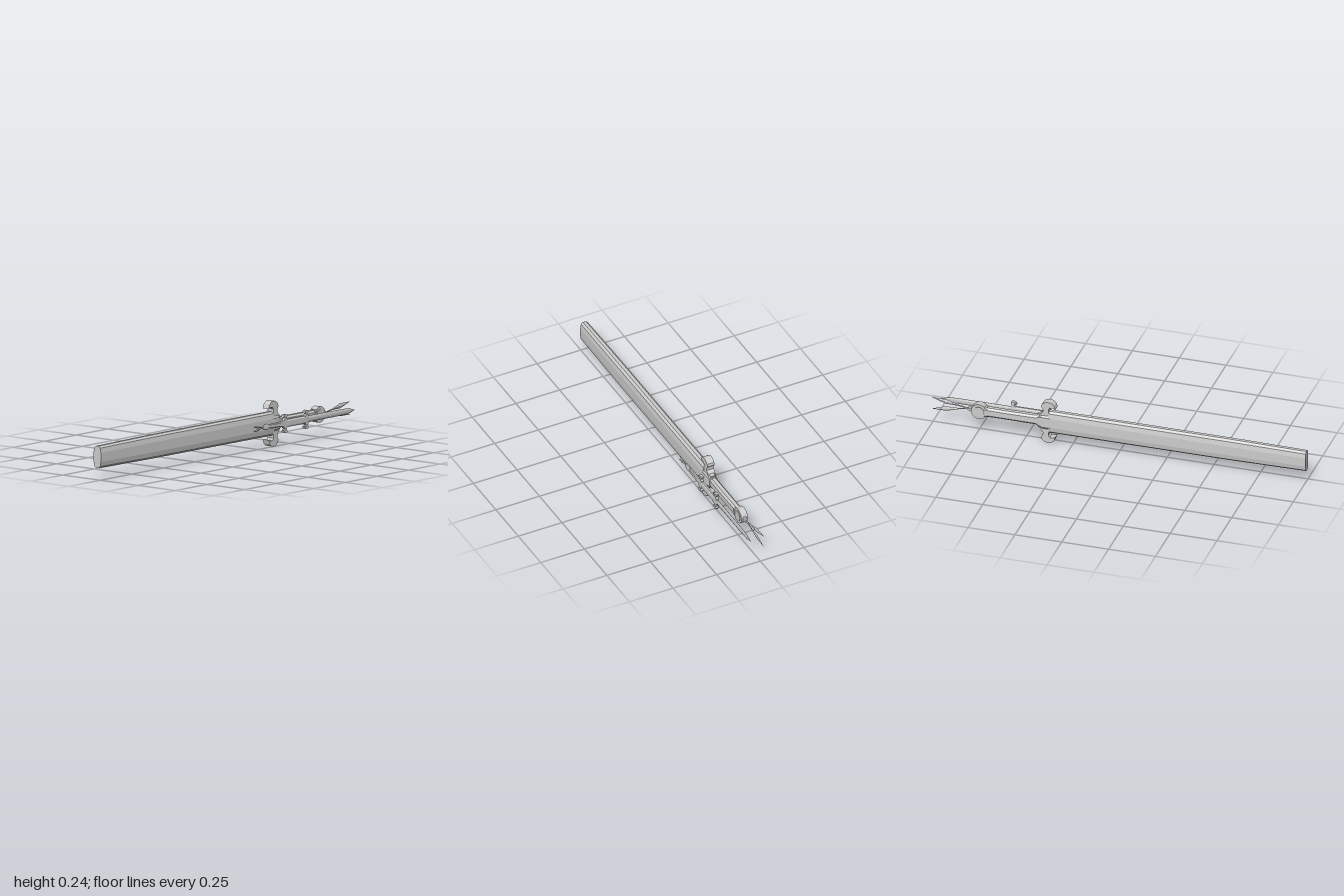
import * as THREE from 'three';

const CY = 0.1195, SWORD_Z = -0.02, KNIFE_Z = 0.038;
const material = new THREE.MeshStandardMaterial({ color: 0xcccccc, flatShading: true });

function part(parent, name, geometry, x = 0, y = 0, z = 0) {
  const mesh = new THREE.Mesh(geometry, material);
  mesh.name = name;
  mesh.position.set(x, y, z);
  parent.add(mesh);
  return mesh;
}

// Loft a (y, z) section along x; each station is [x, y scale, z scale]
function loft(section, stations) {
  const n = section.length, pos = [], idx = [];
  for (const [x, sy, sz] of stations)
    for (const [y, z] of section) pos.push(x, y * sy, z * sz);
  for (let i = 0; i < stations.length - 1; i++)
    for (let j = 0; j < n; j++) {
      const a = i * n + j, b = i * n + (j + 1) % n;
      idx.push(a, b, b + n, a, b + n, a + n);
    }
  const last = (stations.length - 1) * n;
  for (let j = 1; j < n - 1; j++) {
    idx.push(0, j + 1, j);
    idx.push(last, last + j, last + j + 1);
  }
  const g = new THREE.BufferGeometry();
  g.setAttribute('position', new THREE.Float32BufferAttribute(pos, 3));
  g.setIndex(idx);
  const flat = g.toNonIndexed();
  flat.computeVertexNormals();
  return flat;
}

// Repeat a quarter of a section into all four quadrants, counter-clockwise
function fourWay(quarter) {
  const back = [...quarter].reverse();
  return [
    ...quarter,
    ...back.map(([y, z]) => [-y, z]),
    ...quarter.map(([y, z]) => [-y, -z]),
    ...back.map(([y, z]) => [y, -z]),
  ];
}

const diamond = [[1, 0], [0, 1], [-1, 0], [0, -1]];
const octagon = fourWay([[1, 0.5], [0.6, 1]]);

// Guard plate: upper half of the outline mirrored below, extruded through z
function guardPlate(outline, depth) {
  const pts = [...outline, ...[...outline].reverse().map(([x, y]) => [x, -y])];
  const g = new THREE.ExtrudeGeometry(
    new THREE.Shape(pts.map(([x, y]) => new THREE.Vector2(x, y))),
    { depth, bevelEnabled: false });
  g.translate(0, 0, -depth / 2);
  return g;
}

// Two kite-shaped streamers spreading from one point
function streamers(parent, x, dir, length, spread, width) {
  for (const side of [1, -1]) {
    const stations = [[0, 0.25, 0.6], [0.3, 0.3, 0.7], [0.62, 1, 1], [1, 0.03, 0.1]]
      .map(([t, sy, sz]) => [t * length, sy * width, sz * 0.004]);
    const leaf = part(parent, side > 0 ? 'upperStreamer' : 'lowerStreamer', loft(diamond, stations), x);
    leaf.rotation.z = side * spread;
    if (dir < 0) leaf.rotation.z = Math.PI - side * spread;
  }
}

function buildSword() {
  const sword = new THREE.Group();
  sword.name = 'sword';
  sword.position.set(0, CY, SWORD_Z);

  // Scabbard with faceted sides, slightly narrower toward the tip
  const scabbard = fourWay([[0.061, 0.009], [0.051, 0.021], [0.025, 0.026]]);
  part(sword, 'scabbard', loft(scabbard, [[-1, 0.93, 0.93], [-0.6, 1, 1], [0.37, 1.02, 1]]));

  // Guard with hooked ends
  part(sword, 'guard', guardPlate([
    [0.425, 0.028], [0.415, 0.045], [0.402, 0.058], [0.402, 0.072], [0.411, 0.086],
    [0.408, 0.1], [0.395, 0.112], [0.378, 0.118], [0.358, 0.115], [0.343, 0.103],
    [0.335, 0.08], [0.35, 0.087], [0.365, 0.086], [0.373, 0.075], [0.372, 0.058], [0.36, 0.04],
  ], 0.04));
  part(sword, 'guardCollar', loft(octagon, [[0.345, 0.04, 0.024], [0.37, 0.047, 0.027], [0.405, 0.047, 0.027], [0.432, 0.035, 0.022]]));

  // Grip with end rings
  part(sword, 'grip', loft(octagon, [[0.42, 0.027, 0.019], [0.57, 0.025, 0.02], [0.72, 0.026, 0.019]]));
  for (const x of [0.425, 0.702])
    part(sword, 'gripRing', loft(octagon, [[x, 0.029, 0.022], [x + 0.014, 0.029, 0.022]]));

  // Disc pommel with raised faces and an end stud
  const disc = part(sword, 'pommel', new THREE.CylinderGeometry(0.042, 0.042, 0.036, 20), 0.744);
  disc.rotation.x = Math.PI / 2;
  const boss = part(sword, 'pommelBoss', new THREE.CylinderGeometry(0.028, 0.028, 0.041, 16), 0.744);
  boss.rotation.x = Math.PI / 2;
  part(sword, 'pommelStud', loft(octagon, [[0.78, 0.013, 0.01], [0.798, 0.011, 0.009], [0.812, 0.005, 0.004]]));
  streamers(sword, 0.8, 1, 0.203, 0.165, 0.013);
  return sword;
}

function buildDagger() {
  const dagger = new THREE.Group();
  dagger.name = 'dagger';
  dagger.position.set(0, CY, KNIFE_Z);

  // Slim blade tapering to a point
  part(dagger, 'blade', loft(fourWay([[1, 0.1], [0.35, 1]]),
    [[0.59, 0.017, 0.005], [0.88, 0.016, 0.004], [0.925, 0.014, 0.003], [0.967, 0.0008, 0.0005]]));
  part(dagger, 'bladeSleeve', loft(octagon,
    [[0.42, 0.017, 0.007], [0.44, 0.02, 0.009], [0.58, 0.02, 0.009], [0.602, 0.015, 0.006]]));

  // Two small hooked guards
  const hook = [
    [0.014, 0.018], [0.009, 0.03], [0.014, 0.04], [0.012, 0.046], [0.002, 0.049],
    [-0.012, 0.045], [-0.017, 0.034], [-0.006, 0.037], [-0.004, 0.028], [-0.012, 0.018],
  ];
  for (const [name, x] of [['rearGuard', 0.414], ['frontGuard', 0.581]])
    part(dagger, name, guardPlate(hook, 0.016), x);

  // Waisted handle and rounded butt
  part(dagger, 'handle', loft(octagon,
    [[0.285, 0.009, 0.006], [0.32, 0.013, 0.008], [0.36, 0.012, 0.008], [0.395, 0.016, 0.008], [0.415, 0.016, 0.008]]));
  part(dagger, 'butt', loft(octagon,
    [[0.24, 0.004, 0.003], [0.253, 0.013, 0.006], [0.275, 0.016, 0.008], [0.295, 0.009, 0.006]]));
  streamers(dagger, 0.25, -1, 0.084, 0.15, 0.007);
  return dagger;
}

export function createModel() {
  const model = new THREE.Group();
  model.name = 'swordAndDagger';
  model.add(buildSword(), buildDagger());
  return model;
}
